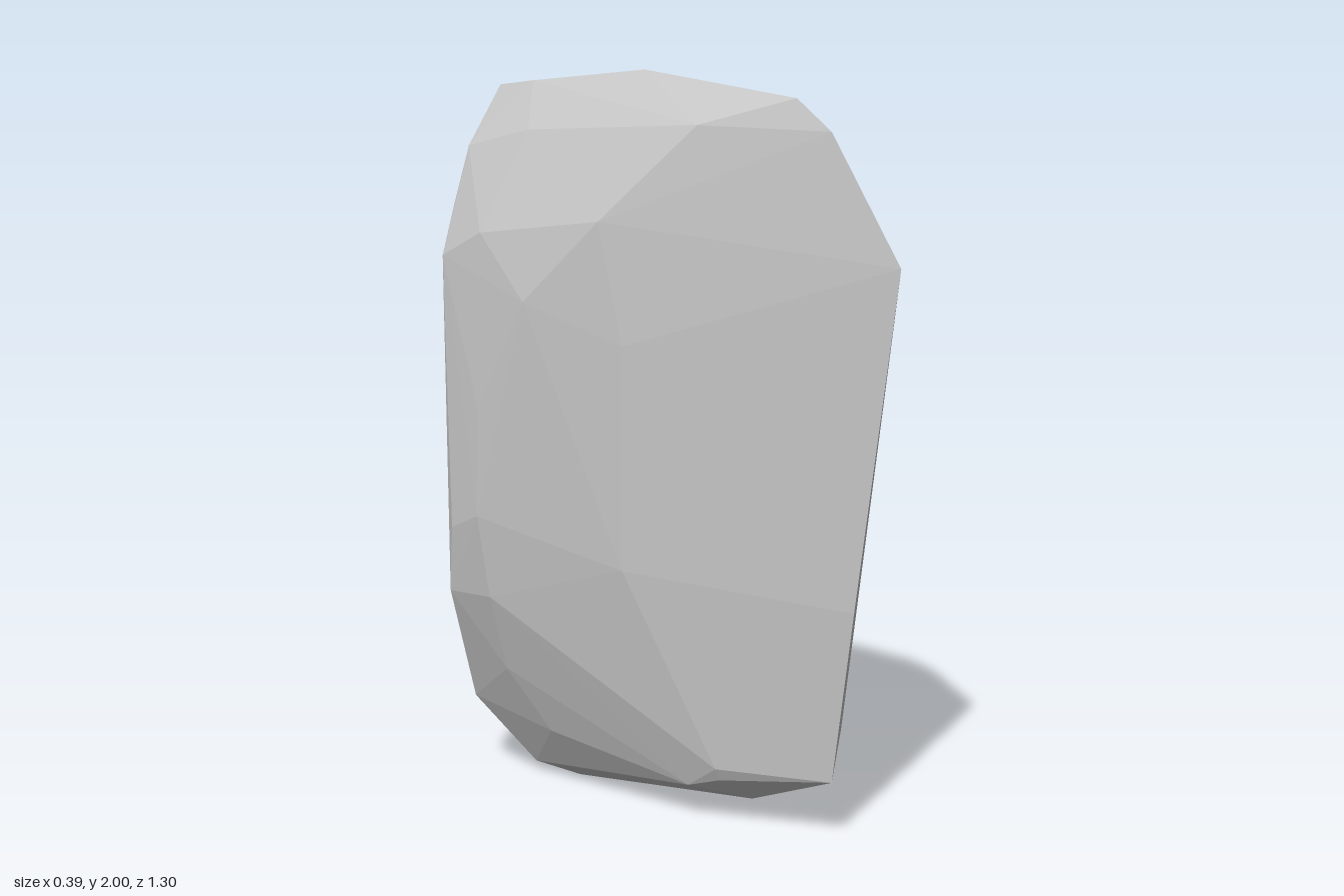
import * as THREE from 'three';
import { ConvexGeometry } from 'three/addons/geometries/ConvexGeometry.js';

// Corner points [x, y, z] of the faceted slab, grouped by region
const broadFace = [
  [0.195, 0.79, -0.12], [0.195, 1.08, 0.5], [0.195, 0.34, 0.2], [0.195, 1.07, 0.2],
  [0.165, 1.5, 0.2], [0.15, 0.31, 0.5],
];
const topRim = [
  [0.08, 1.95, -0.62], [0.11, 2, -0.13], [0.11, 1.94, 0.36], [0.12, 1.86, 0.46],
  [0.155, 1.53, 0.65], [-0.04, 1.84, -0.41], [0, 1.87, 0.13], [-0.05, 1.79, -0.62],
  [0.06, 1.965, -0.48],
];
const backEdge = [
  [-0.08, 1.63, -0.65], [-0.08, 0.4, -0.65], [0.09, 0.11, -0.63], [-0.05, 0.22, -0.63],
  [-0.16, 1.5, -0.62], [-0.165, 0.56, -0.61],
];
const curvedFace = [
  [-0.16, 1.57, -0.48], [-0.12, 1.62, -0.1], [-0.18, 1.4, -0.31], [-0.19, 1.1, -0.47],
  [-0.2, 0.8, -0.47], [-0.185, 0.75, -0.58], [-0.175, 0.57, -0.45], [-0.11, 0.7, -0.03],
  [-0.11, 1.3, -0.03], [-0.11, 0.35, -0.45], [0.11, 0.64, 0.56],
];
const underside = [
  [-0.04, 0.17, -0.35], [0.04, 0.03, -0.48], [0.095, 0, -0.36], [0.1, 0.07, 0.25],
  [0.11, 0.17, 0.5], [0, 0.17, 0.2], [0.017, 0.134, 0.2], [0.01, 0.1, 0.1],
];

export function createModel() {
  const group = new THREE.Group();
  group.name = 'rockSlab';
  const stone = new THREE.MeshStandardMaterial({ color: 0xc4c4c4 });
  stone.name = 'stone grey';

  // One solid stone, wrapped around the corner points with flat facets
  const points = [broadFace, topRim, backEdge, curvedFace, underside]
    .flat()
    .map((p) => new THREE.Vector3(...p));
  const slab = new THREE.Mesh(new ConvexGeometry(points), stone);
  slab.name = 'stoneSlab';
  group.add(slab);
  return group;
}
